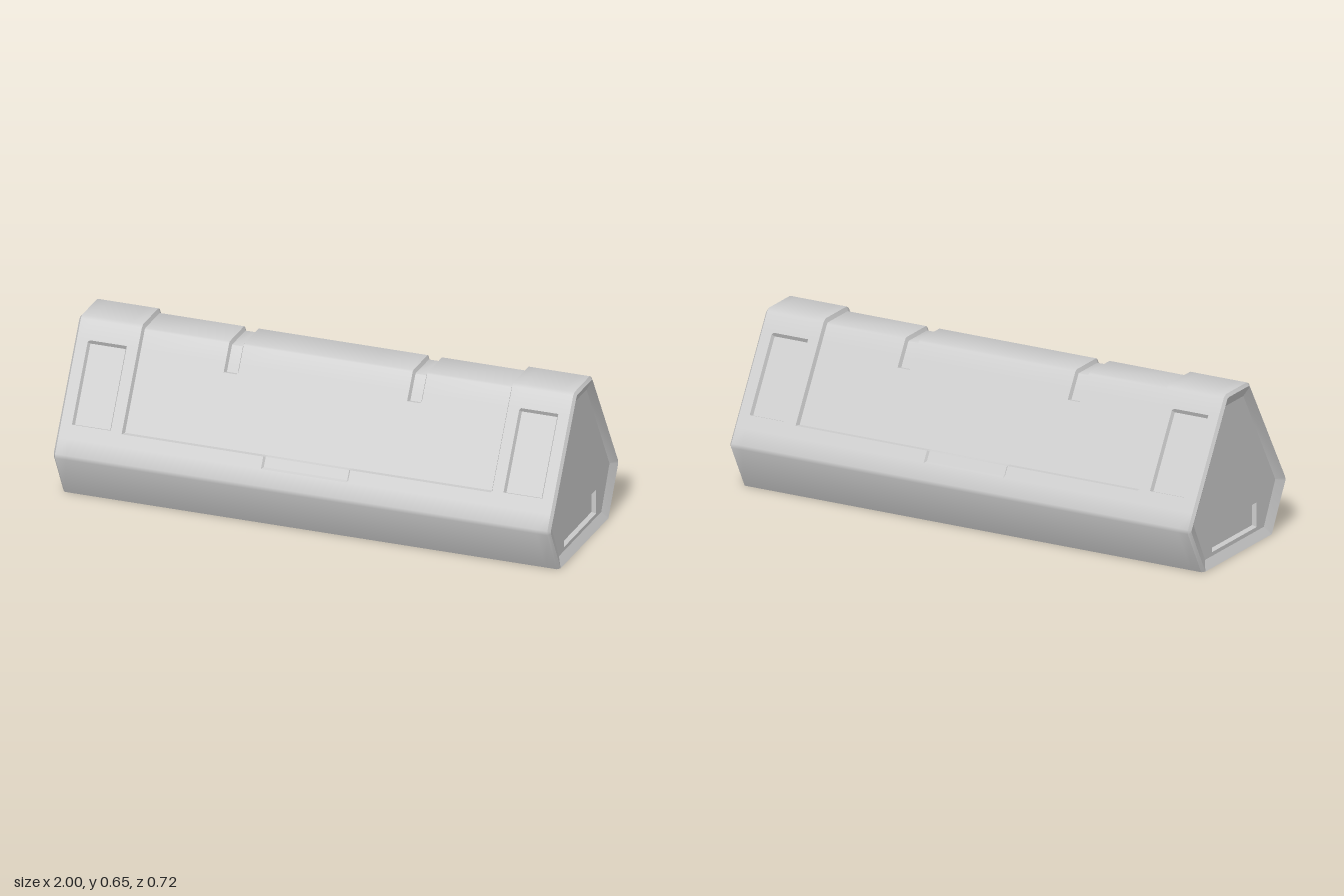
import * as THREE from 'three';
import { toCreasedNormals } from 'three/addons/utils/BufferGeometryUtils.js';

const material = new THREE.MeshStandardMaterial({ color: 0xcccccc, side: THREE.DoubleSide });
const BEVEL = 0.007;
const CHAMFER = 0.012;

// Front half of the cross-section [z, y], from the open bottom to the ridge
const PROFILE = [[0.262, 0], [0.362, 0.18], [0.362, 0.197], [0.093, 0.643], [0.078, 0.652]];

// Recesses on both slopes: x range, y range, depth
const RECESSES = [
  [-0.745, 0.745, 0.292, 9, 0.016],          // long centre panel
  [-0.175, 0.175, 0.252, 0.33, 0.008],       // latch tab
];
for (const s of [-1, 1]) {
  RECESSES.push([s * 0.369 - 0.029, s * 0.369 + 0.029, 0.545, 9, 0.031]);   // strap notches
  RECESSES.push([s * 0.868 - 0.078, s * 0.868 + 0.078, 0.293, 0.577, 0.014]); // corner pockets
}

// Inward miter direction at each profile point
function miter(i) {
  const normal = (a, b) => {
    const dz = b[0] - a[0], dy = b[1] - a[1], l = Math.hypot(dz, dy);
    return [dy / l, -dz / l];
  };
  if (i === 0) return [-1 / normal(PROFILE[0], PROFILE[1])[0], 0];
  const next = PROFILE[i + 1] ?? [-PROFILE[i][0], PROFILE[i][1]];
  const a = normal(PROFILE[i - 1], PROFILE[i]), b = normal(PROFILE[i], next);
  const k = 1 + a[0] * b[0] + a[1] * b[1];
  return [-(a[0] + b[0]) / k, -(a[1] + b[1]) / k];
}
const MITERS = PROFILE.map((_, i) => miter(i));

// Point [z, y] of the section at height y, sunk by depth d
function sectionPoint(y, d) {
  let i = 0;
  while (i < PROFILE.length - 2 && y > PROFILE[i + 1][1]) i++;
  const t = (y - PROFILE[i][1]) / (PROFILE[i + 1][1] - PROFILE[i][1]);
  return [0, 1].map(k => THREE.MathUtils.lerp(PROFILE[i][k], PROFILE[i + 1][k], t)
    + d * THREE.MathUtils.lerp(MITERS[i][k], MITERS[i + 1][k], t));
}

function depthAt(x, y) {
  if (Math.abs(x) > 0.995) return CHAMFER;
  const e = BEVEL * 0.9;
  return Math.max(0, ...RECESSES.map(([x0, x1, y0, y1, d]) =>
    x > x0 + e && x < x1 - e && y > y0 + e && y < y1 - e ? d : 0));
}

// Joins rows of points into a surface
function loft(rows, crease) {
  const cols = rows[0].length, index = [];
  for (let j = 0; j < rows.length - 1; j++) {
    for (let i = 0; i < cols - 1; i++) {
      const a = j * cols + i, b = a + 1, c = a + cols, d = c + 1;
      index.push(a, b, d, a, d, c);
    }
  }
  const geo = new THREE.BufferGeometry();
  geo.setAttribute('position', new THREE.Float32BufferAttribute(rows.flat(2), 3));
  geo.setIndex(index);
  return toCreasedNormals(geo, crease);
}

function add(parent, name, geometry) {
  const mesh = new THREE.Mesh(geometry, material);
  mesh.name = name;
  parent.add(mesh);
}

const sorted = list => [...new Set(list.map(v => +v.toFixed(4)))].sort((a, b) => a - b);

// Prism shell with stepped recesses, open underneath
function bodyGeometry() {
  const xs = [-1, -1 + CHAMFER * 0.8, 1 - CHAMFER * 0.8, 1];
  const ys = PROFILE.map(p => p[1]);
  for (const [x0, x1, y0, y1] of RECESSES) {
    xs.push(x0, x0 + BEVEL, x1 - BEVEL, x1);
    ys.push(y0, y0 + BEVEL);
    if (y1 < 0.65) ys.push(y1 - BEVEL, y1);
  }
  const columns = sorted(xs), half = sorted(ys);
  const row = side => y => columns.map(x => {
    const [z, h] = sectionPoint(y, depthAt(x, y));
    return [x, h, side * z];
  });
  return loft([...half.map(row(1)), ...half.reverse().map(row(-1))], 0.6);
}

// End cap: sloping rim, sunken face and a slot pocket
function makeEnd() {
  const end = new THREE.Group();
  const faceX = 0.982, floorX = 0.966;
  const inner = [[0.22, 0.035], [0.305, 0.197], [0.305, 0.199], [0.067, 0.6], [0.065, 0.6]];
  const loop = (half, x) => {
    const pts = [...half, ...half.map(([z, y]) => [-z, y]).reverse()];
    return [...pts, pts[0]].map(([z, y]) => [x, y, z]);
  };
  const outer = PROFILE.map(([z, y], i) => [z + MITERS[i][0] * CHAMFER, y + MITERS[i][1] * CHAMFER]);
  add(end, 'endRim', loft([loop(inner, faceX), loop(outer, 1)], 0.3));

  const rect = (w, y0, y1) => [[w, y0], [w, y1], [-w, y1], [-w, y0]];
  const toVec = list => list.map(([z, y]) => new THREE.Vector2(-z, y));
  const flat = (shape, x) => new THREE.ShapeGeometry(shape).rotateY(Math.PI / 2).translate(x, 0, 0);
  const mouth = rect(0.167, 0.05, 0.148), floor = rect(0.16, 0.057, 0.141);
  const face = new THREE.Shape(toVec([...inner, ...inner.map(([z, y]) => [-z, y]).reverse()]));
  face.holes.push(new THREE.Path(toVec(mouth)));
  add(end, 'endFace', flat(face, faceX));

  const ring = (pts, x) => [...pts, pts[0]].map(([z, y]) => [x, y, z]);
  add(end, 'slotWalls', loft([ring(floor, floorX), ring(mouth, faceX)], 0.3));
  add(end, 'slotFloor', flat(new THREE.Shape(toVec(floor)), floorX));
  return end;
}

export function createModel() {
  const model = new THREE.Group();
  model.name = 'container';
  add(model, 'body', bodyGeometry());
  ['leftEnd', 'rightEnd'].forEach((name, i) => {
    const end = makeEnd();
    end.name = name;
    end.rotation.y = i * Math.PI;
    model.add(end);
  });
  return model;
}
